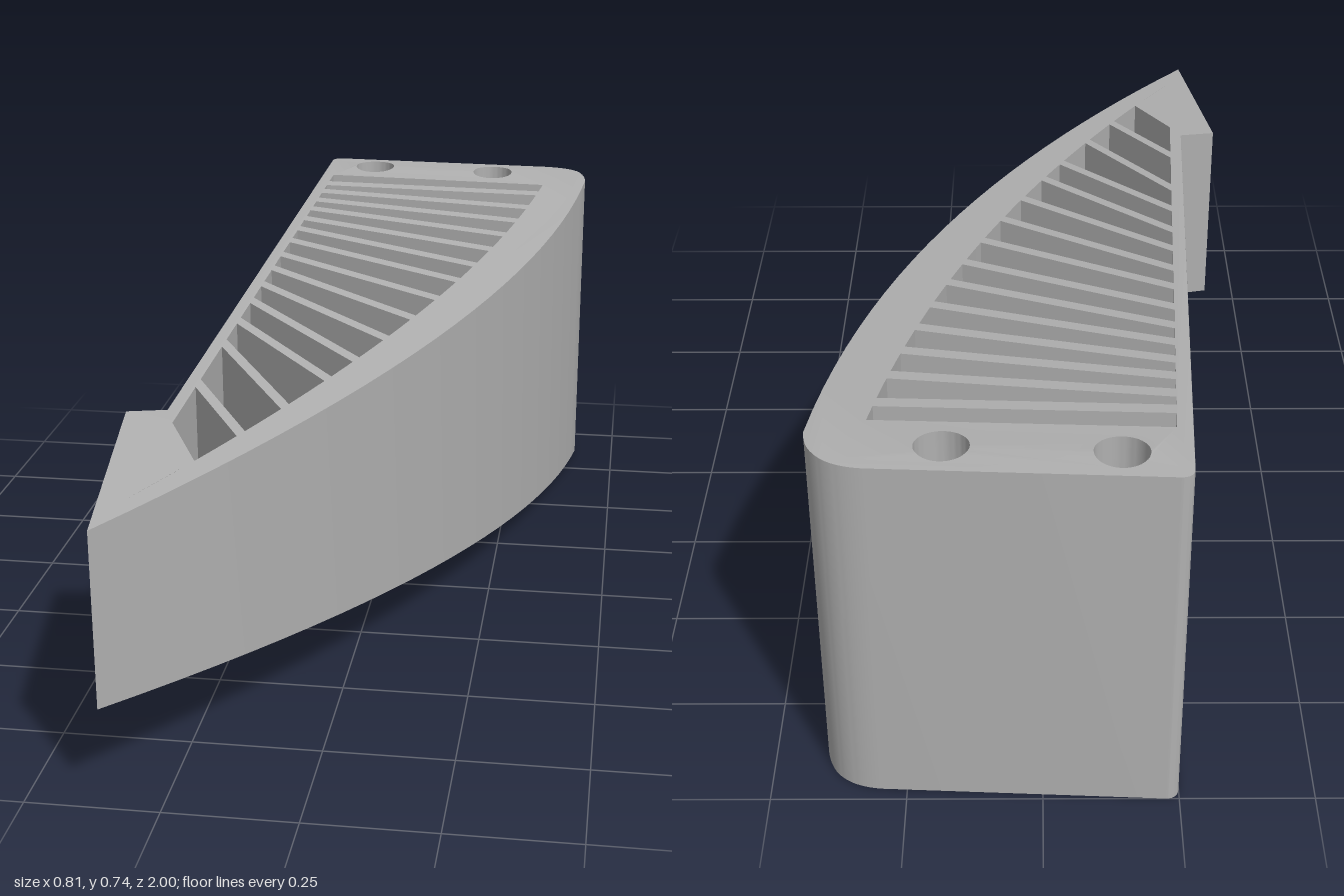
import * as THREE from 'three';
import { toCreasedNormals } from 'three/addons/utils/BufferGeometryUtils.js';

// Edges of the ribbed opening, as x for a given z
const innerLeft = z => -0.228 - 0.0546 * (z + 0.847);
const innerRight = z => {
  const t = (0.894 - z) / 1.714;
  return -0.323 + 0.625 * t + 0.376 * t * (1 - t);
};

// z of each rib centre line at the left and right edges of the opening
const ribs = [
  [-0.783, -0.757], [-0.725, -0.656], [-0.661, -0.561], [-0.598, -0.466], [-0.529, -0.37],
  [-0.46, -0.27], [-0.381, -0.175], [-0.291, -0.069], [-0.206, 0.042], [-0.111, 0.153],
  [-0.016, 0.265], [0.095, 0.36], [0.212, 0.492], [0.407, 0.614], [0.603, 0.741],
];

// Both sides of a rib: z at the left and right edges for its back and front faces
function ribSides([zl, zr], i) {
  const half = (0.03 - 0.01 * i / 14) / 2;
  const dir = new THREE.Vector2(innerRight(zr) - innerLeft(zl), zr - zl).normalize();
  const shift = (edge, z) => {
    const slope = (edge(z + 0.01) - edge(z - 0.01)) / 0.02;
    return half / Math.abs(dir.x - slope * dir.y);
  };
  const l = shift(innerLeft, zl), r = shift(innerRight, zr);
  return { back: [zl - l, zr - r], front: [zl + l, zr + r] };
}

function createSlots() {
  const sides = ribs.map(ribSides);
  const slots = [];
  for (let i = 0; i <= ribs.length; i++) {
    const start = i === 0 ? [-0.847, -0.82] : sides[i - 1].front;
    const end = i === ribs.length ? [0.894, 0.894] : sides[i].back;
    const pts = [new THREE.Vector2(innerLeft(start[0]), -start[0])];
    for (let k = 0; k <= 4; k++) {
      const z = THREE.MathUtils.lerp(start[1], end[1], k / 4);
      pts.push(new THREE.Vector2(innerRight(z), -z));
    }
    if (i < ribs.length) pts.push(new THREE.Vector2(innerLeft(end[0]), -end[0]));
    slots.push(new THREE.Path(pts));
  }
  return slots;
}

export function createModel() {
  const group = new THREE.Group();
  group.name = 'ribbedWedge';
  const grey = new THREE.MeshStandardMaterial({ color: 0xb0b0b0 });
  grey.name = 'grey';

  // Plan outline, with shape y = -z
  const outline = new THREE.Shape();
  outline.moveTo(-0.354, -1);
  outline.quadraticCurveTo(0.32, -0.07, 0.405, 0.86);
  outline.quadraticCurveTo(0.4, 0.965, 0.296, 0.974);
  outline.lineTo(-0.225, 1);
  outline.quadraticCurveTo(-0.249, 1, -0.25, 0.975);
  outline.lineTo(-0.328, -0.53);
  outline.lineTo(-0.405, -0.545);
  outline.closePath();

  // Rib slots and the two round bolt holes
  outline.holes.push(...createSlots());
  for (const [x, z] of [[-0.132, -0.926], [0.17, -0.907]]) {
    const hole = new THREE.Path();
    hole.absarc(x, -z, 0.048, 0, Math.PI * 2, true);
    outline.holes.push(hole);
  }

  let geometry = new THREE.ExtrudeGeometry(outline, { depth: 1, bevelEnabled: false, curveSegments: 24 });
  geometry.rotateX(-Math.PI / 2);

  // Taper the height towards the tip
  const pos = geometry.attributes.position;
  for (let i = 0; i < pos.count; i++) {
    const half = Math.min(0.3675, 0.1695 + (1 - pos.getZ(i)) * 0.1026);
    pos.setY(i, 0.3675 + (pos.getY(i) > 0.5 ? half : -half));
  }
  geometry = toCreasedNormals(geometry, 0.5);

  const body = new THREE.Mesh(geometry, grey);
  body.name = 'ribbedBody';
  group.add(body);
  return group;
}
